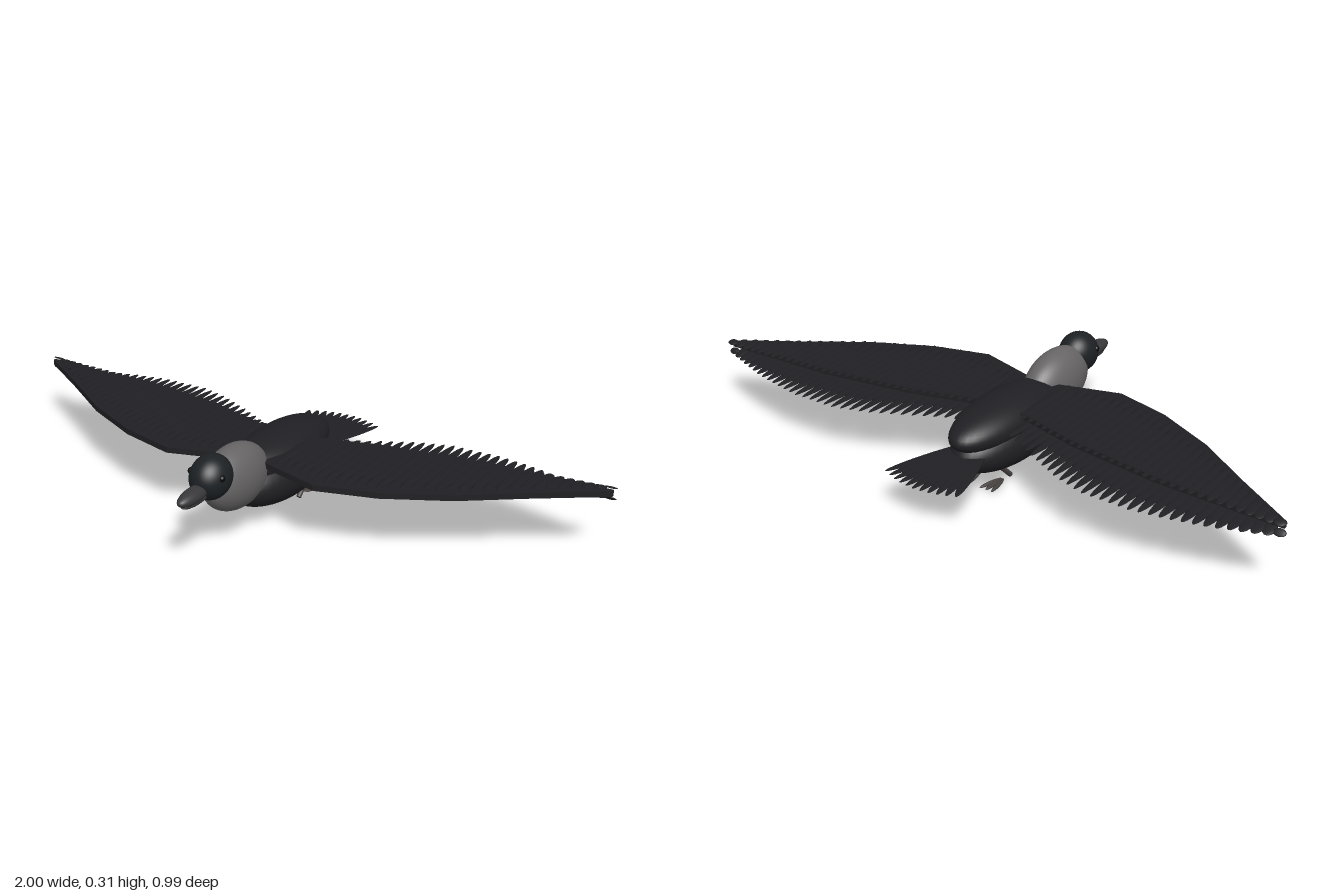
import * as THREE from 'three';

const paint = (color) => new THREE.MeshStandardMaterial({ color, side: THREE.DoubleSide });
const plumage = paint(0x202024), hood = paint(0x1d2124), collar = paint(0x666464);
const horn = paint(0x38383a), legSkin = paint(0x46413f), eyeBlack = paint(0x08080a);

const ball = new THREE.SphereGeometry(1, 40, 28);
const blade = new THREE.SphereGeometry(1, 10, 12).rotateX(Math.PI / 2);

// Ellipsoid with half sizes r, pitched about x
function ellipsoid(name, material, pos, r, pitch = 0, geometry = ball) {
  const mesh = new THREE.Mesh(geometry, material);
  mesh.name = name;
  mesh.position.set(...pos);
  mesh.scale.set(...r);
  mesh.rotation.x = pitch;
  return mesh;
}

// Thin feather stretched between two points
function feather(name, from, to, halfWidth, thickness = 0.003) {
  const a = new THREE.Vector3(...from), b = new THREE.Vector3(...to);
  const mesh = new THREE.Mesh(blade, plumage);
  mesh.name = name;
  mesh.position.copy(a).lerp(b, 0.5);
  mesh.lookAt(b);
  mesh.scale.set(halfWidth, thickness, a.distanceTo(b) / 2);
  return mesh;
}

// Linear interpolation along a list of [x, z] points
function edgeAt(points, x) {
  for (let i = 1; i < points.length; i++) {
    const [x0, z0] = points[i - 1], [x1, z1] = points[i];
    if (x <= x1) return THREE.MathUtils.lerp(z0, z1, (x - x0) / (x1 - x0));
  }
  return points[points.length - 1][1];
}

const leading = [[0, 0.12], [0.1, 0.15], [0.25, 0.195], [0.43, 0.145], [0.62, 0.05], [0.8, -0.075], [0.99, -0.2]];
const rear = [[0, -0.08], [0.12, -0.1], [0.3, -0.15], [0.6, -0.195], [0.99, -0.21]];
const trailing = [[0, -0.15], [0.12, -0.18], [0.25, -0.25], [0.35, -0.3], [0.45, -0.33], [0.6, -0.332],
  [0.7, -0.315], [0.8, -0.29], [0.9, -0.255], [1, -0.215]];

function makeWing(side) {
  const wing = new THREE.Group();
  wing.name = side > 0 ? 'leftWing' : 'rightWing';

  // Solid wing panel
  const outline = [...leading, ...[...rear].reverse()].map(([x, z]) => new THREE.Vector2(side * x, -z));
  const geometry = new THREE.ExtrudeGeometry(new THREE.Shape(outline), { depth: 0.018, bevelEnabled: false });
  geometry.rotateX(-Math.PI / 2);
  const panel = new THREE.Mesh(geometry, plumage);
  panel.name = 'wingPanel';
  panel.position.y = 0.207;
  wing.add(panel);

  // Flight feathers below, coverts above
  const count = 31;
  for (let i = 0; i < count; i++) {
    const x = 0.1 + 0.88 * i / (count - 1);
    const front = edgeAt(leading, x) - 0.012;
    wing.add(feather('flightFeather', [side * x, 0.203, front], [side * x, 0.187, edgeAt(trailing, x)], 0.019));
    wing.add(feather('covertFeather', [side * x, 0.232, front], [side * x, 0.222, edgeAt(rear, x) - 0.02], 0.019));
  }
  return wing;
}

function makeLeg(side) {
  const leg = new THREE.Group();
  leg.name = side > 0 ? 'leftLeg' : 'rightLeg';
  const shank = new THREE.Mesh(new THREE.CylinderGeometry(0.008, 0.008, 0.07, 12), legSkin);
  shank.name = 'shank';
  shank.position.set(side * 0.043, 0.034, -0.117);
  shank.rotation.x = -0.8;
  leg.add(shank);
  // Three toes trailing backwards
  for (const k of [-1, 0, 1]) {
    const toe = ellipsoid('toe', legSkin, [side * 0.043 + k * 0.013, 0.012, -0.173], [0.007, 0.006, 0.043], 0, blade);
    toe.rotation.y = -k * 0.2;
    leg.add(toe);
  }
  return leg;
}

export function createModel() {
  const bird = new THREE.Group();
  bird.name = 'bird';

  // Trunk, neck and head
  bird.add(
    ellipsoid('body', plumage, [0, 0.128, -0.04], [0.114, 0.092, 0.248], -0.03),
    ellipsoid('back', plumage, [0, 0.187, -0.06], [0.1, 0.068, 0.242], -0.03),
    ellipsoid('neck', collar, [0, 0.198, 0.208], [0.073, 0.1, 0.146], -0.12),
    ellipsoid('head', hood, [0, 0.249, 0.335], [0.06, 0.066, 0.071], 0.25),
    ellipsoid('upperBeak', horn, [0, 0.229, 0.425], [0.027, 0.022, 0.073]),
    ellipsoid('lowerBeak', horn, [0, 0.213, 0.415], [0.022, 0.014, 0.068]),
  );

  for (const side of [1, -1]) {
    bird.add(ellipsoid('eye', eyeBlack, [side * 0.052, 0.264, 0.358], [0.009, 0.01, 0.01]));
    bird.add(makeWing(side), makeLeg(side));
  }

  // Fanned tail
  const tail = new THREE.Group();
  tail.name = 'tail';
  const tailCount = 11;
  for (let i = 0; i < tailCount; i++) {
    const t = i / (tailCount - 1) * 2 - 1;
    tail.add(feather('tailFeather', [t * 0.035, 0.135, -0.2], [t * 0.128, 0.129, -0.495 + 0.033 * t * t], 0.017));
  }
  bird.add(tail);
  return bird;
}
